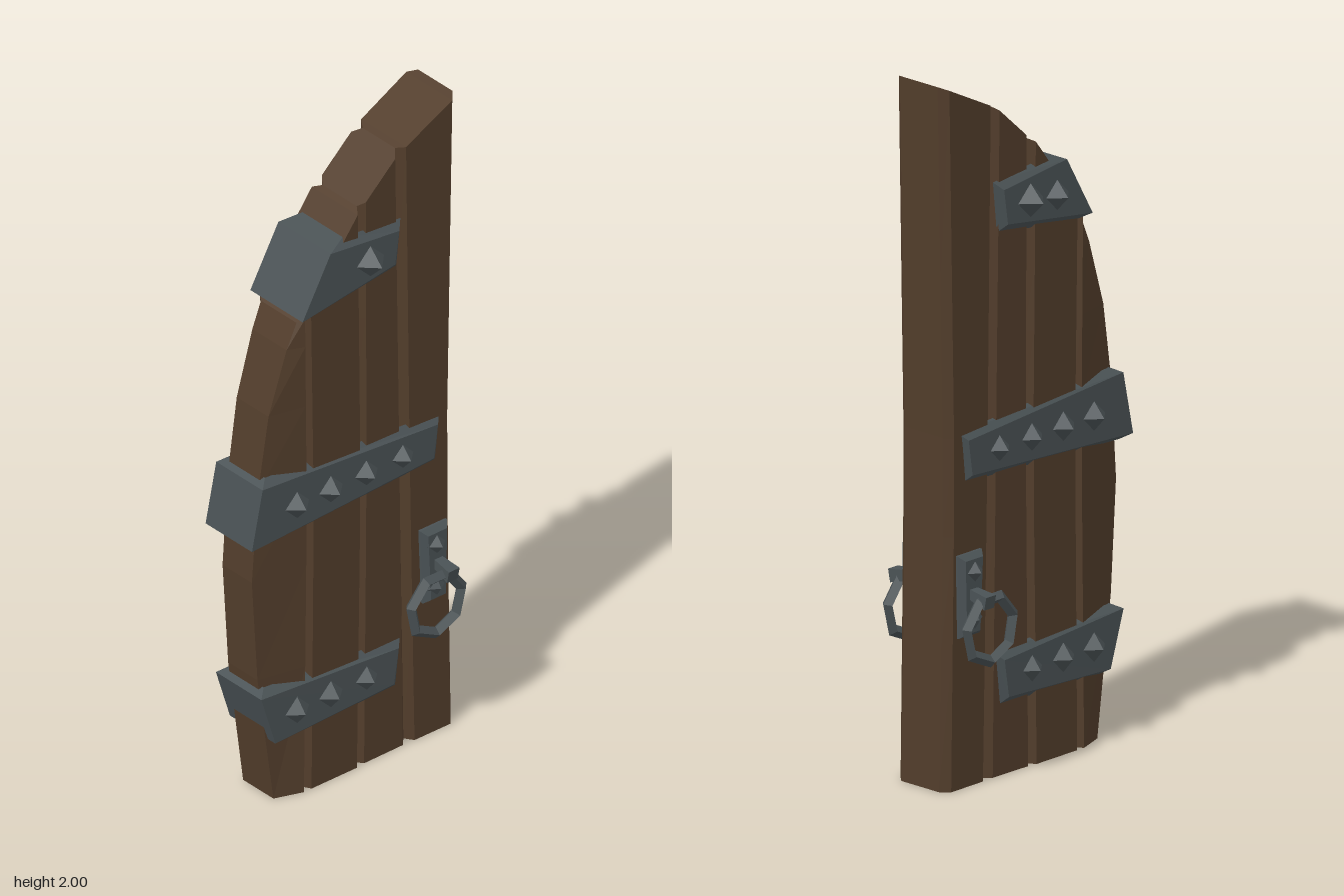
import * as THREE from 'three';

const wood = new THREE.MeshStandardMaterial({ color: 0x523d2b, side: THREE.DoubleSide });
wood.name = 'brown wood';
const iron = new THREE.MeshStandardMaterial({ color: 0x4a5255 });
iron.name = 'dark iron';

// Flat-shaded geometry from a list of four-cornered faces
function quadGeometry(quads) {
  const pos = [];
  for (const [a, b, c, d] of quads) pos.push(...a, ...b, ...c, ...a, ...c, ...d);
  const g = new THREE.BufferGeometry();
  g.setAttribute('position', new THREE.Float32BufferAttribute(pos, 3));
  g.computeVertexNormals();
  return g;
}

// Faces between successive rings (counter-clockwise about the loft direction)
function skin(rings) {
  const quads = [];
  const n = rings[0].length;
  for (let i = 0; i < rings.length - 1; i++) {
    for (let j = 0; j < n; j++) {
      const k = (j + 1) % n;
      quads.push([rings[i][j], rings[i][k], rings[i + 1][k], rings[i + 1][j]]);
    }
  }
  return quads;
}

// Loft of four-cornered rings with both ends capped
function cappedLoft(rings) {
  const first = rings[0], last = rings[rings.length - 1];
  return quadGeometry([...skin(rings), [...first].reverse(), last]);
}

function add(parent, name, geometry, material) {
  const mesh = new THREE.Mesh(geometry, material);
  mesh.name = name;
  parent.add(mesh);
  return mesh;
}

// Boards with V grooves as one shell, open underneath
function boardsGeometry() {
  // Vertical edges from front to back: [x, zBottom, zMiddle, zTop, yTop]
  const edges = [
    [0.092, 0.182, 0.172, 0.178, 1.51], [0.07, 0.167, 0.157, 0.168, 1.53], [0.092, 0.155, 0.147, 0.157, 1.55],
    [0.094, -0.005, -0.018, -0.008, 1.765], [0.07, -0.02, -0.03, -0.025, 1.775], [0.09, -0.034, -0.043, -0.04, 1.79],
    [0.09, -0.172, -0.16, -0.145, 1.885], [0.066, -0.195, -0.18, -0.165, 1.9], [0.092, -0.212, -0.195, -0.182, 1.908],
    [0.094, -0.338, -0.325, -0.345, 1.99], [0.07, -0.36, -0.344, -0.366, 2.0],
  ];
  // Curved outer edge: [y, z, half width]
  const curve = [[0, 0.265, 0.062], [0.4, 0.32, 0.06], [0.72, 0.34, 0.06], [1.0, 0.32, 0.062],
    [1.23, 0.285, 0.065], [1.42, 0.225, 0.07], [1.495, 0.192, 0.073]];
  const yMid = 0.9;
  const rings = curve.map(([yc, zc, xc], level) => {
    const half = [[xc, yc, zc]];
    for (const [x, zBottom, zMiddle, zTop, yTop] of edges) {
      const y = level === curve.length - 1 ? yTop : yc;
      const z = y < yMid
        ? THREE.MathUtils.lerp(zBottom, zMiddle, y / yMid)
        : THREE.MathUtils.lerp(zMiddle, zTop, (y - yMid) / (yTop - yMid));
      half.push([x, y, z]);
    }
    return [...half, ...half.map(([x, y, z]) => [-x, y, z]).reverse()];
  });
  const quads = skin(rings);
  // Sloping top, closed strip by strip
  const top = rings[rings.length - 1], n = top.length;
  for (let j = 0; j < edges.length; j++) quads.push([top[j], top[j + 1], top[n - 2 - j], top[n - 1 - j]]);
  return quadGeometry(quads);
}

// Strap bent round the outer edge, bevelled along its rims
// corners [y, z]: top back, top front, bottom front, bottom back
function strapGeometry([tb, tf, bf, bb], xFront, depth) {
  const b = 0.022;
  const station = (s, x, top, bottom, xIn, zIn, zOut, rim) => [
    [s * xIn, top[0], top[1] + zIn], [s * xIn, bottom[0], bottom[1] + zIn],
    [s * x, bottom[0] + rim, bottom[1] + zOut], [s * x, top[0] - rim, top[1] + zOut],
  ];
  const back = (s) => station(s, 0.107, tb, bb, 0.086, 0, b, b);
  const front = (s) => station(s, xFront, tf, bf, xFront - 0.025, -depth, 0, 0.016);
  return cappedLoft([back(1), front(1), front(-1), back(-1)]);
}

// Four-sided spike pointing out of one side of the door
function addStud(parent, side, x, y, z, r, h) {
  const stud = add(parent, 'stud', new THREE.ConeGeometry(r, h, 4).toNonIndexed(), iron);
  stud.geometry.computeVertexNormals();
  stud.rotation.z = -side * Math.PI / 2;
  stud.position.set(side * (x + h / 2), y, z);
}

function addHandle(door, side) {
  const handle = new THREE.Group();
  handle.name = side > 0 ? 'leftHandle' : 'rightHandle';
  door.add(handle);
  // Tapered back plate with bevelled face
  const levels = [[0.07, 0], [0.1, 0], [0.118, 0.014]].map(([x, i]) => [side * x, i]);
  if (side < 0) levels.reverse();
  add(handle, 'handlePlate', cappedLoft(levels.map(([x, i]) => [
    [x, 0.665 - i, -0.32 + i], [x, 0.665 - i, -0.225 - i],
    [x, 0.43 + i, -0.235 - i], [x, 0.43 + i, -0.315 + i]])), iron);
  addStud(handle, side, 0.115, 0.615, -0.27, 0.032, 0.027);
  addStud(handle, side, 0.115, 0.48, -0.27, 0.032, 0.02);
  // Square post flaring outwards, and the ring hanging from it
  const flare = new THREE.CylinderGeometry(0.027, 0.018, 0.085, 4).rotateY(Math.PI / 4).toNonIndexed();
  flare.computeVertexNormals();
  const post = add(handle, 'handlePost', flare, iron);
  post.position.set(side * 0.137, 0.55, -0.275);
  post.rotation.z = -side * (Math.PI / 2 + 0.2);
  const torus = new THREE.TorusGeometry(0.092, 0.018, 4, 7).toNonIndexed();
  torus.computeVertexNormals();
  const ring = add(handle, 'handleRing', torus, iron);
  ring.rotation.set(0, Math.PI / 2, 0);
  ring.rotateZ(0.2);
  ring.position.set(side * 0.152, 0.455, side > 0 ? -0.237 : -0.248);
}

export function createModel() {
  const door = new THREE.Group();
  door.name = 'archedDoorLeaf';
  add(door, 'boards', boardsGeometry(), wood);

  // Iron straps: name, corners, half width at the front, depth of the front
  const straps = [
    ['lowerStrap', [[0.352, -0.165], [0.375, 0.335], [0.183, 0.285], [0.2, -0.148]], 0.093, 0.03],
    ['middleStrap', [[1.008, -0.305], [1.045, 0.332], [0.832, 0.37], [0.862, -0.29]], 0.095, 0.03],
    ['upperStrap', [[1.685, -0.167], [1.708, 0.1], [1.5, 0.2], [1.54, -0.152]], 0.107, 0.065],
  ];
  for (const [name, corners, xFront, depth] of straps) {
    add(door, name, strapGeometry(corners, xFront, depth), iron);
  }

  // Studs and handles on both faces
  for (const side of [1, -1]) {
    for (const z of [0.213, 0.093, -0.032]) addStud(door, side, 0.1, 0.28, z, 0.042, 0.035);
    for (const z of [0.213, 0.093, -0.032, -0.16]) addStud(door, side, 0.1, 0.935, z, 0.042, 0.038);
    addStud(door, side, 0.105, 1.61, -0.042, 0.05, 0.05);
    if (side < 0) addStud(door, side, 0.105, 1.6, 0.062, 0.045, 0.043);
    addHandle(door, side);
  }
  return door;
}
